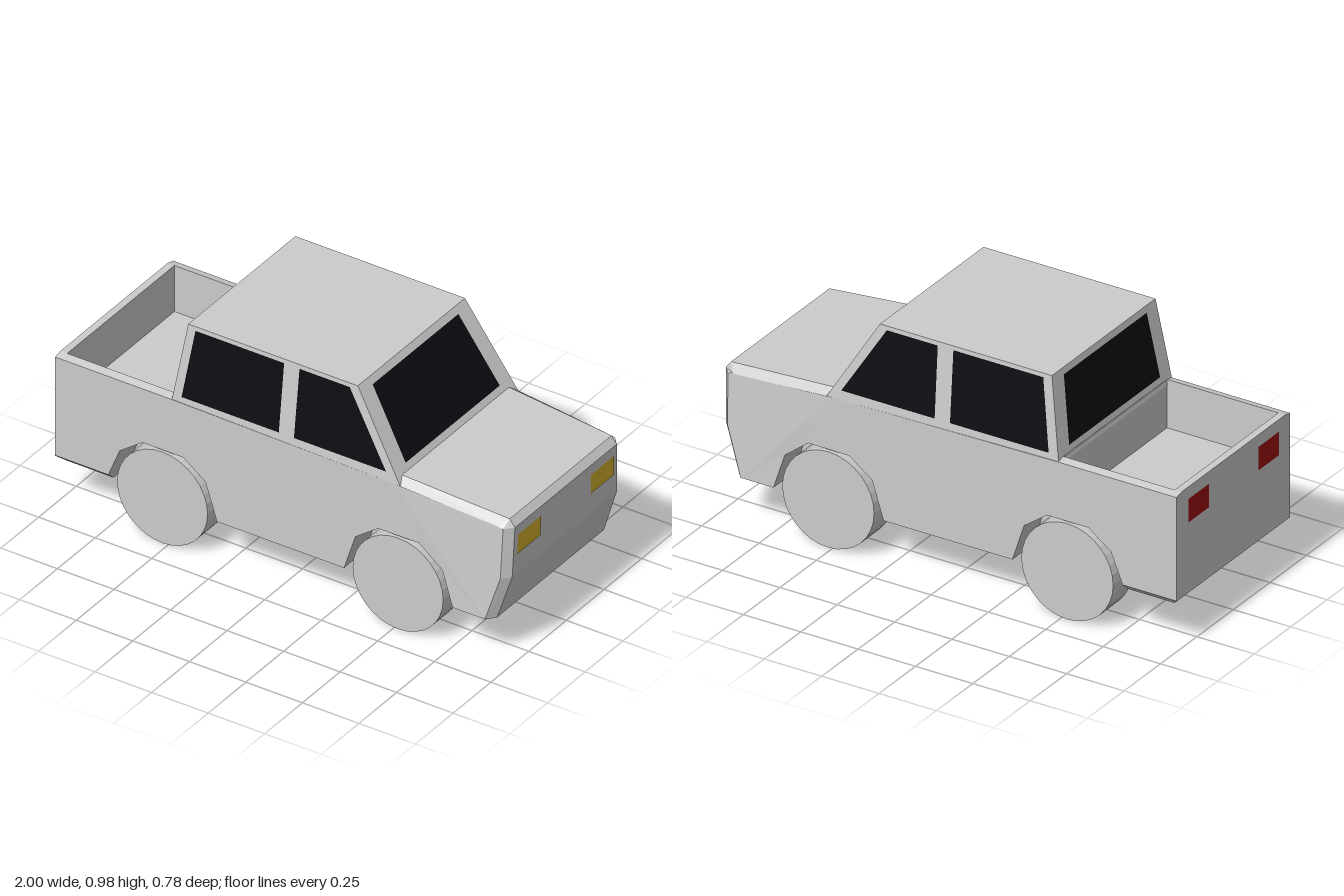
import * as THREE from 'three';

const grey = new THREE.MeshStandardMaterial({ color: 0xcccccc, flatShading: true });
const paint = (color) => new THREE.MeshStandardMaterial({ color, side: THREE.DoubleSide });
const glass = paint(0x0c0c12), amber = paint(0xd8b42c), red = paint(0xa01010);
const lerp = THREE.MathUtils.lerp;
const clamp01 = (v) => THREE.MathUtils.clamp(v, 0, 1);

const WHEELS = [-0.525, 0.517];
const HALF = 0.39, INNER = 0.355;

// Side outline of the body, facing +x; optional wheel arches and load bed
function outline(arches, bed) {
  const p = [[-0.97, 0.18]];
  if (arches) {
    for (const c of WHEELS) {
      for (const [dx, y] of [[-0.24, 0.18], [-0.19, 0.335], [-0.09, 0.408],
        [0.09, 0.408], [0.19, 0.335], [0.24, 0.18]]) p.push([c + dx, y]);
    }
  }
  p.push([0.93, 0.18], [0.992, 0.375], [0.998, 0.59], [0.975, 0.62], [0.5, 0.655], [-0.485, 0.652]);
  if (bed) p.push([-0.485, 0.45], [-0.97, 0.45], [-0.97, 0.652]);
  p.push([-1, 0.652], [-1, 0.21]);
  return new THREE.Shape(p.map(([x, y]) => new THREE.Vector2(x, y)));
}

// Lengthwise slice of the body between two z planes, with chamfered outer edges
function slab(name, z0, z1, arches, bed) {
  const geo = new THREE.ExtrudeGeometry(outline(arches, bed), { depth: z1 - z0, bevelEnabled: false });
  geo.translate(0, 0, z0);
  const pos = geo.attributes.position;
  for (let i = 0; i < pos.count; i++) {
    let x = pos.getX(i), y = pos.getY(i), z = pos.getZ(i);
    const taper = 1 - 0.05 * clamp01((x - 0.5) / 0.48) * clamp01((y - 0.18) / 0.42);
    if (Math.abs(z) > HALF - 0.005) {
      if (y > 0.6) y -= x > 0.45 ? 0.025 : 0.008;
      else if (y < 0.2 && x < -0.7) y += 0.032;
      if (x > 0.9) x -= 0.03;
      if (x < -0.96) x = -1;
    }
    pos.setXYZ(i, x, y, z * taper);
  }
  geo.computeVertexNormals();
  const mesh = new THREE.Mesh(geo, grey);
  mesh.name = name;
  return mesh;
}

// Cabin faces as functions of height
const BASE = 0.63, ROOF = 0.975;
const up = (y) => (y - BASE) / (ROOF - BASE);
const frontX = (y) => lerp(0.525, 0.315, up(y));
const rearX = (y) => lerp(-0.487, -0.435, up(y));
const sideZ = (y) => lerp(HALF, INNER, up(y));

function cabin() {
  const geo = new THREE.BoxGeometry(1, 1, 1).toNonIndexed();
  const pos = geo.attributes.position;
  for (let i = 0; i < pos.count; i++) {
    const y = pos.getY(i) > 0 ? ROOF : BASE;
    pos.setXYZ(i, pos.getX(i) > 0 ? frontX(y) : rearX(y), y, Math.sign(pos.getZ(i)) * sideZ(y));
  }
  geo.computeVertexNormals();
  const mesh = new THREE.Mesh(geo, grey);
  mesh.name = 'cabin';
  return mesh;
}

// Flat four-cornered panel
function panel(name, material, corners) {
  const geo = new THREE.BufferGeometry();
  geo.setAttribute('position', new THREE.Float32BufferAttribute(corners.flat(), 3));
  geo.setIndex([0, 1, 2, 0, 2, 3]);
  geo.computeVertexNormals();
  const mesh = new THREE.Mesh(geo, material);
  mesh.name = name;
  return mesh;
}

export function createModel() {
  const model = new THREE.Group();
  model.name = 'pickupTruck';

  // Body: centre, arched flanks and chamfered outer skins
  const body = new THREE.Group();
  body.name = 'body';
  body.add(
    slab('bodyCentre', -0.25, 0.25, false, true),
    slab('leftFlank', 0.25, INNER, true, true),
    slab('rightFlank', -INNER, -0.25, true, true),
    slab('leftSkin', INNER, HALF, true, false),
    slab('rightSkin', -HALF, -INNER, true, false),
  );
  model.add(body, cabin());

  // Windscreen and rear window
  const lo = 0.68, hi = 0.95, gap = 0.003;
  for (const [name, edge, off] of [['windscreen', frontX, gap], ['rearWindow', rearX, -gap]]) {
    model.add(panel(name, glass, [
      [edge(lo) + off, lo, 0.312], [edge(lo) + off, lo, -0.312],
      [edge(hi) + off, hi, -0.284], [edge(hi) + off, hi, 0.284]]));
  }

  for (const s of [1, -1]) {
    // Side windows
    const a = 0.67, b = 0.96, za = s * (sideZ(a) + gap), zb = s * (sideZ(b) + gap);
    model.add(panel('frontSideWindow', glass, [[0.055, a, za], [0.462, a, za], [0.282, b, zb], [0.06, b, zb]]));
    model.add(panel('rearSideWindow', glass, [[-0.442, a, za], [-0.012, a, za], [-0.008, b, zb], [-0.4, b, zb]]));

    // Lights
    model.add(panel('headlight', amber, [
      [0.997, 0.465, s * 0.168], [0.997, 0.465, s * 0.322],
      [0.9995, 0.55, s * 0.318], [0.9995, 0.55, s * 0.166]]));
    model.add(panel('tailLight', red, [
      [-1.002, 0.505, s * 0.17], [-1.002, 0.505, s * 0.31],
      [-1.002, 0.603, s * 0.31], [-1.002, 0.603, s * 0.17]]));

    // Wheels
    for (const x of WHEELS) {
      const wheel = new THREE.Mesh(new THREE.CylinderGeometry(0.2, 0.2, 0.132, 32), grey);
      wheel.rotation.x = Math.PI / 2;
      wheel.position.set(x, 0.2, s * 0.326);
      wheel.name = x > 0 ? 'frontWheel' : 'rearWheel';
      model.add(wheel);
    }
  }
  return model;
}
